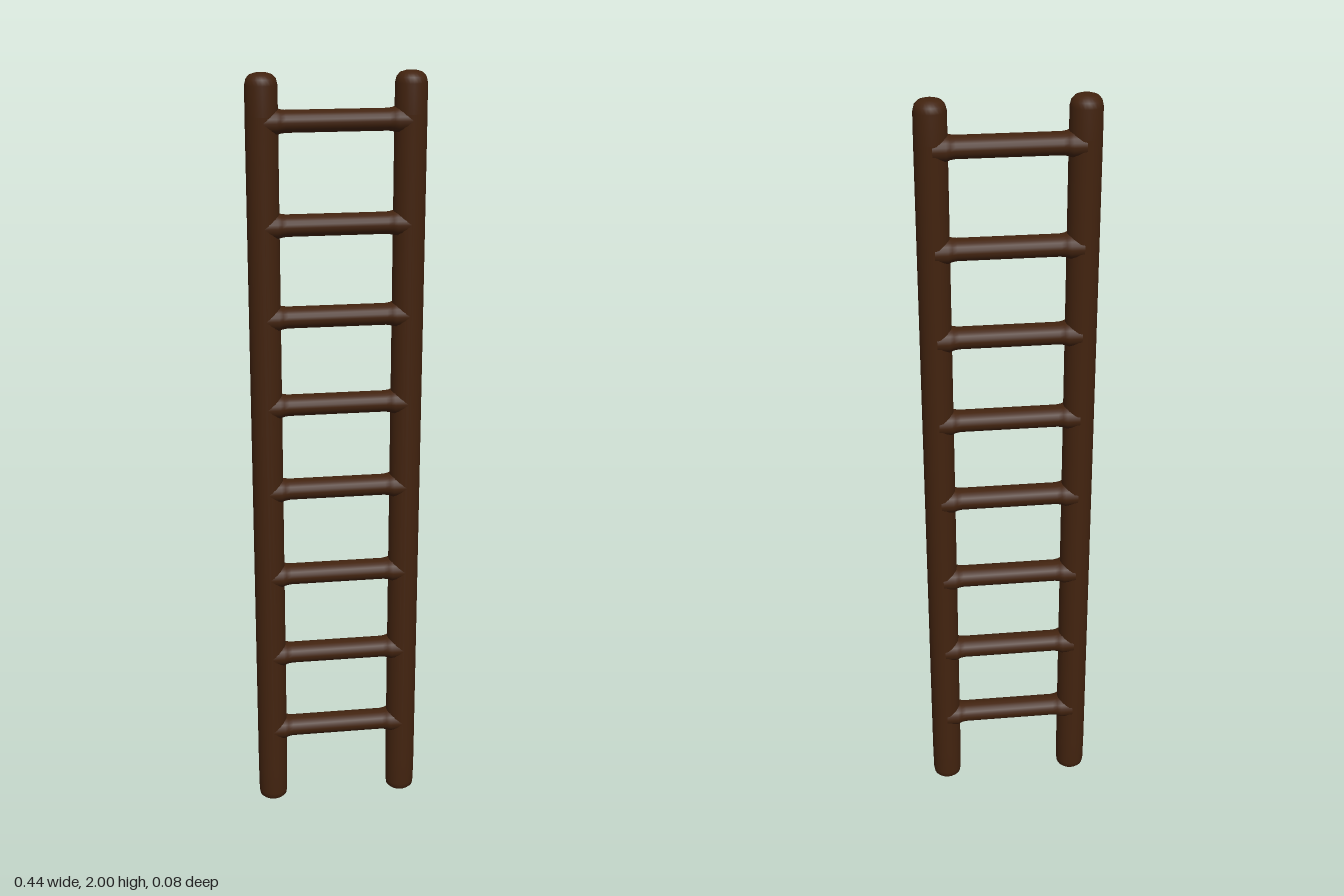
import * as THREE from 'three';

const wood = new THREE.MeshStandardMaterial({ color: 0x42230f });
wood.name = 'dark brown wood';

const lathe = (points, segments) =>
  new THREE.LatheGeometry(points.map(([r, y]) => new THREE.Vector2(r, y)), segments);

export function createModel() {
  const ladder = new THREE.Group();
  ladder.name = 'ladder';

  // Round upright with a domed top and a slightly worn foot
  const railGeometry = lathe([
    [0, 0], [0.031, 0.002], [0.037, 0.008], [0.039, 0.022], [0.04, 0.1], [0.04, 1.9],
    [0.0395, 1.972], [0.036, 1.986], [0.028, 1.995], [0.016, 1.999], [0, 2],
  ], 24);
  for (const side of [-1, 1]) {
    const rail = new THREE.Mesh(railGeometry, wood);
    rail.name = side > 0 ? 'leftRail' : 'rightRail';
    rail.position.x = side * 0.181;
    ladder.add(rail);
  }

  // Rung, a little deeper than tall, flaring where it meets the uprights
  const rungGeometry = lathe([
    [0.033, -0.18], [0.033, -0.148], [0.029, -0.138], [0.027, -0.125],
    [0.027, 0.125], [0.029, 0.138], [0.033, 0.148], [0.033, 0.18],
  ], 20);
  rungGeometry.rotateZ(Math.PI / 2);
  rungGeometry.scale(1, 1, 1.25);
  [0.22, 0.45, 0.688, 0.934, 1.167, 1.4, 1.633, 1.885].forEach((y, i) => {
    const rung = new THREE.Mesh(rungGeometry, wood);
    rung.name = `rung${i + 1}`;
    rung.position.set(0, y, -0.001);
    ladder.add(rung);
  });

  return ladder;
}
